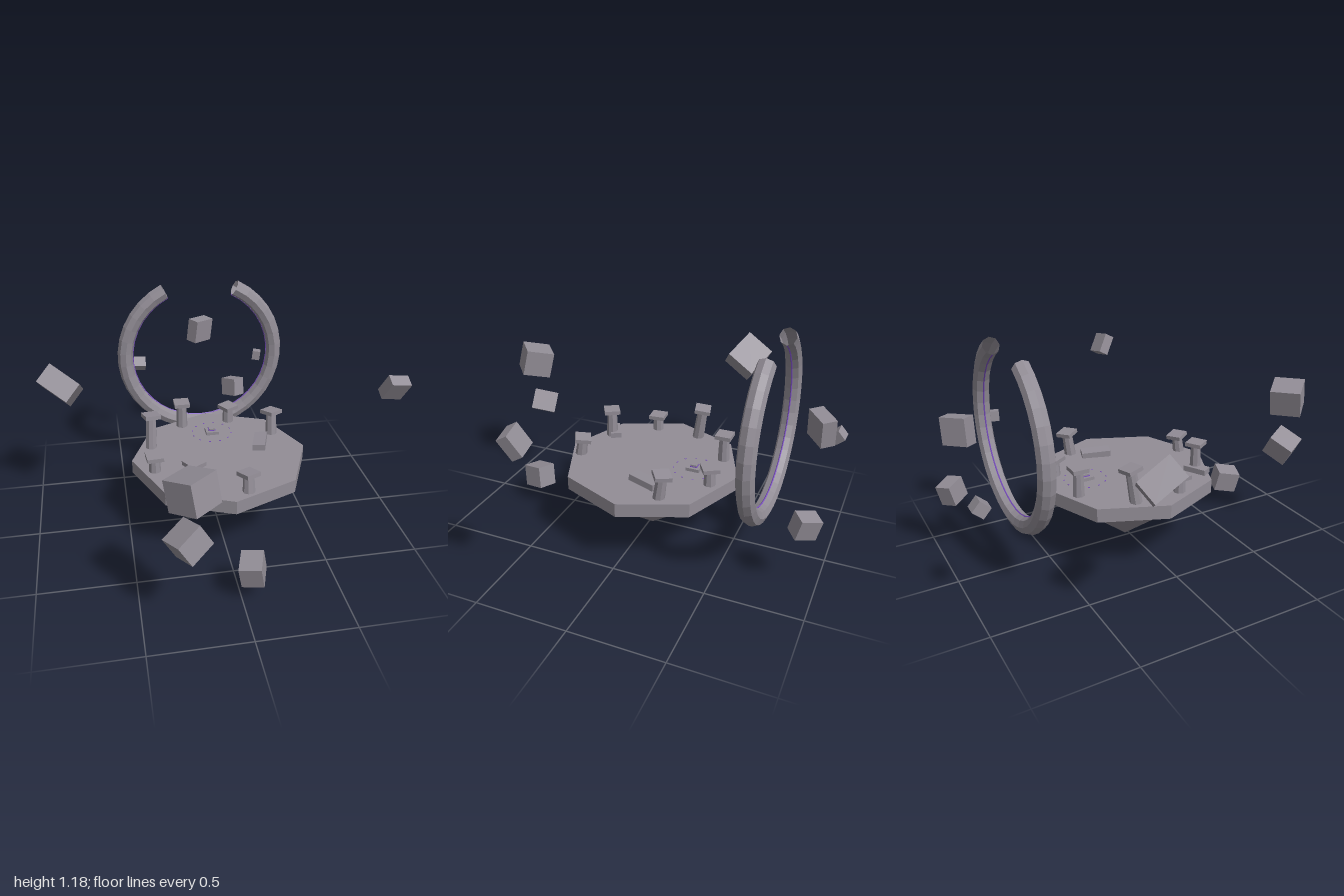
import * as THREE from 'three';

export function createModel() {
  const model = new THREE.Group();
  model.name = 'floatingRuin';
  const stone = new THREE.MeshStandardMaterial({ color: 0x928d96, flatShading: true, side: THREE.DoubleSide });
  stone.name = 'stone';
  const glow = new THREE.MeshStandardMaterial({ color: 0x7a4fc0, flatShading: true });
  glow.name = 'violet glow';

  const CX = 0.02, CZ = -0.02, TOP = 0.405;
  const add = (name, geometry, material, x, y, z, parent = model) => {
    const mesh = new THREE.Mesh(geometry, material);
    mesh.name = name;
    mesh.position.set(x, y, z);
    parent.add(mesh);
    return mesh;
  };
  const box = (w, h, d) => new THREE.BoxGeometry(w, h, d);

  // Octagonal island and the rock point below it
  add('platform', new THREE.CylinderGeometry(0.484, 0.484, 0.075, 8), stone, CX, TOP - 0.0375, CZ);
  add('rockPoint', new THREE.CylinderGeometry(0.43, 0, 0.332, 8), stone, CX, 0.166, CZ);

  // Broken ring standing behind the island, open at the top, with a glowing inner line
  const arc = Math.PI * 2 * 0.85, start = Math.PI * 0.65;
  const ring = add('brokenRing', new THREE.TorusGeometry(0.457, 0.046, 8, 32, arc), stone, CX, 0.734, -0.662);
  const line = add('ringGlow', new THREE.TorusGeometry(0.412, 0.004, 4, 32, arc), glow, CX, 0.734, -0.662);
  ring.rotation.z = line.rotation.z = start;

  // Stepped altar with a glowing trim and a circle of small runes
  const AZ = -0.264;
  add('altarBase', box(0.074, 0.018, 0.074), stone, CX, TOP + 0.009, AZ);
  add('altarGlow', box(0.04, 0.004, 0.04), glow, CX, TOP + 0.02, AZ);
  add('altarTop', box(0.034, 0.012, 0.034), stone, CX, TOP + 0.024, AZ);
  for (let i = 0; i < 12; i++) {
    const a = (i + 0.5) / 12 * Math.PI * 2;
    const rune = add('rune', box(0.005, 0.002, 0.01), glow, CX + Math.cos(a) * 0.114, TOP + 0.001, AZ + Math.sin(a) * 0.114);
    rune.rotation.y = -a;
  }

  // Pillars: x, z of the foot, full height, yaw, lean about x, lean about z
  const pillars = [
    [-0.14, -0.376, 0.158, 0, 0, 0],
    [0.14, -0.39, 0.105, 0.55, 0, 0],
    [0.36, -0.197, 0.143, 0.6, -0.13, 0],
    [-0.345, -0.155, 0.195, 0.25, -0.13, -0.05],
    [-0.35, 0.10, 0.095, 0.08, 0, 0],
    [-0.17, 0.317, 0.168, 0.55, 0, 0],
    [0.10, 0.38, 0.108, 0.5, -0.15, 0],
  ];
  for (const [x, z, h, yaw, leanX, leanZ] of pillars) {
    const pillar = new THREE.Group();
    pillar.name = 'pillar';
    pillar.position.set(x, TOP, z);
    pillar.rotation.set(leanX, yaw, leanZ);
    model.add(pillar);
    add('shaft', new THREE.CylinderGeometry(0.028, 0.033, h - 0.015, 8), stone, 0, (h - 0.015) / 2 - 0.003, 0, pillar);
    add('capital', box(0.088, 0.022, 0.088), stone, 0, h - 0.011, 0, pillar);
  }

  // Fallen blocks lying on the island
  const fallen = add('fallenBlock', box(0.07, 0.035, 0.163), stone, 0.265, TOP + 0.018, -0.08);
  fallen.rotation.set(-0.04, -0.31, 0.06);
  const fallenSmall = add('fallenBlock', box(0.13, 0.03, 0.06), stone, -0.195, TOP + 0.015, 0.31);
  fallenSmall.rotation.y = 0.5;

  // Floating stones: centre, size, direction of the box's up and x axes
  const stones = [
    [[-0.815, 0.76, -0.30], [0.197, 0.121, 0.18], [0.078, 0.08, -0.046], [0.15, -0.1, 0.08]],
    [[-0.257, 0.762, 0.86], [0.165, 0.15, 0.16], [-0.13, 0.97, -0.2], [0.75, -0.03, -0.65]],
    [[-0.278, 0.484, 0.834], [0.14, 0.12, 0.14], [-0.5, 0.85, 0], [0.16, 0.09, -0.1]],
    [[0.054, 0.168, 0.695], [0.112, 0.122, 0.13], [-0.18, 0.97, 0.14], [0.94, 0.12, 0.33]],
    [[0.87, 0.873, 0.274], [0.112, 0.12, 0.062], [0.2, 0.85, 0.48], [0.93, -0.3, -0.2]],
    [[0.056, 0.8, -0.912], [0.143, 0.14, 0.075], [0.12, 0.98, 0], [0.78, -0.1, -0.63]],
    [[0.363, 0.72, -0.628], [0.046, 0.055, 0.046], [0.1, 0.98, 0], [0.95, -0.1, 0.3]],
    [[-0.335, 0.577, -0.948], [0.076, 0.062, 0.066], [0, 0.75, 0.65], [1, 0, 0.1]],
    [[0.277, 0.378, -0.92], [0.113, 0.112, 0.09], [0, 0.97, -0.24], [0.6, 0, 0.8]],
  ];
  for (const [center, size, upDir, xDir] of stones) {
    const up = new THREE.Vector3(...upDir).normalize();
    const side = new THREE.Vector3(...xDir).cross(up).normalize();
    const along = up.clone().cross(side);
    const rock = add('floatingStone', box(...size), stone, ...center);
    rock.quaternion.setFromRotationMatrix(new THREE.Matrix4().makeBasis(along, up, side));
  }
  return model;
}
